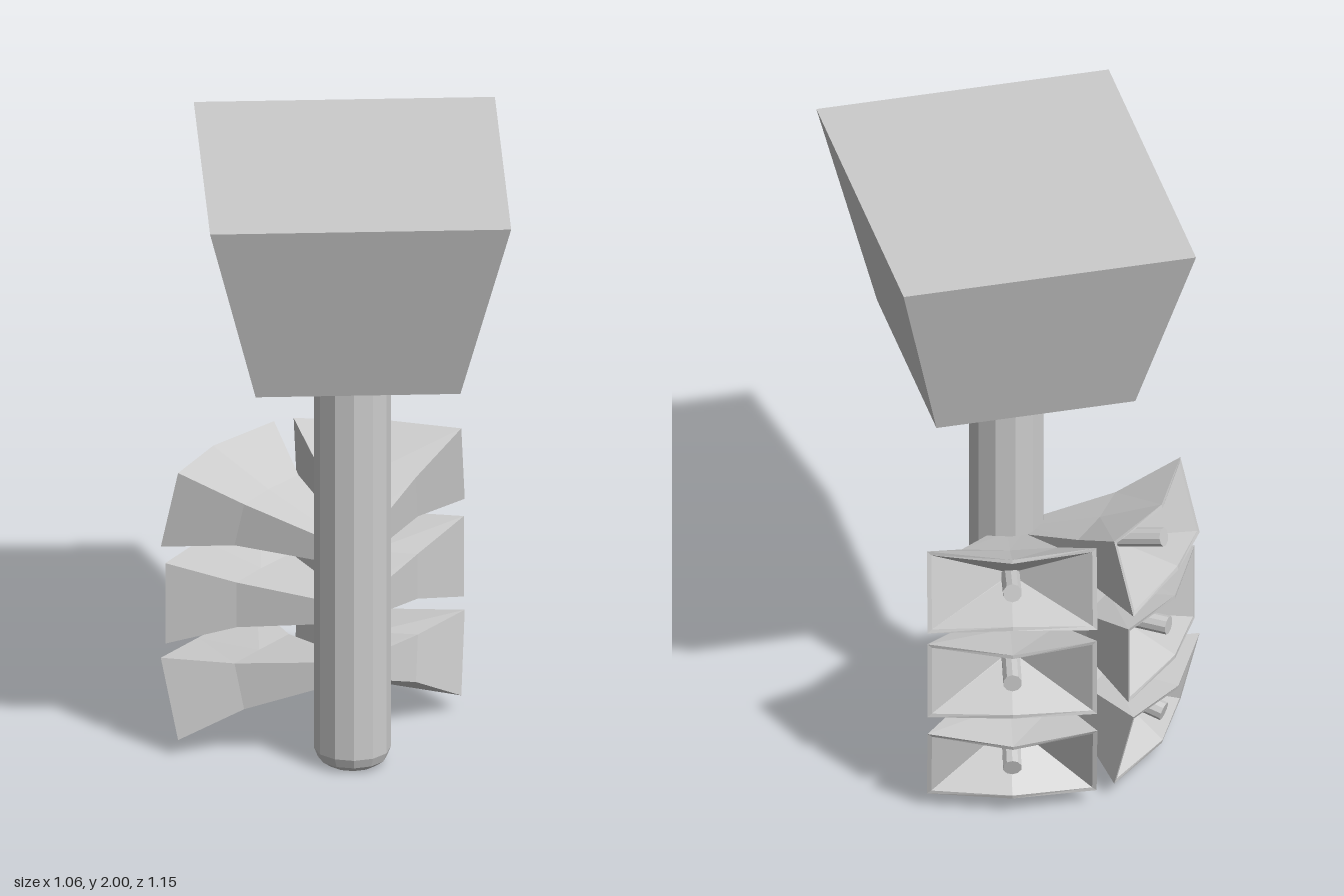
import * as THREE from 'three';

const grey = new THREE.MeshStandardMaterial({ color: 0xcccccc, flatShading: true });

function part(name, geometry) {
  const mesh = new THREE.Mesh(geometry, grey);
  mesh.name = name;
  return mesh;
}

// Six-point section: half width, corner half height, middle half height,
// and how far forward the corners and the middle points lie.
function section([w, h, m, corner, middle]) {
  return [
    [-w, h, -corner], [0, m, -middle], [w, h, -corner],
    [w, -h, -corner], [0, -m, -middle], [-w, -h, -corner],
  ];
}

// Skin from throat to rim, over the lip and back into the funnel
function hornGeometry() {
  const rings = [
    [0.05, 0.04, 0.04, 0.08, 0.08],
    [0.15, 0.075, 0.072, 0.335, 0.345],
    [0.265, 0.135, 0.117, 0.526, 0.572],
    [0.251, 0.122, 0.104, 0.526, 0.572],
    [0.004, 0.004, 0.004, 0.36, 0.36],
  ].map(section);
  const index = [];
  for (let i = 0; i < rings.length - 1; i++) {
    for (let j = 0; j < 6; j++) {
      const a = i * 6 + j, b = i * 6 + (j + 1) % 6;
      index.push(a, b, b + 6, a, b + 6, a + 6);
    }
  }
  const indexed = new THREE.BufferGeometry();
  indexed.setAttribute('position', new THREE.Float32BufferAttribute(rings.flat(2), 3));
  indexed.setIndex(index);
  const geometry = indexed.toNonIndexed();
  geometry.computeVertexNormals();
  return geometry;
}

export function createModel() {
  const model = new THREE.Group();
  model.name = 'hornPost';

  // Everything is arranged around the post axis
  const assembly = new THREE.Group();
  assembly.name = 'assembly';
  assembly.position.set(0.065, 0, 0.02);
  model.add(assembly);

  // Post with a rounded-off foot
  const profile = [[0, 0], [0.08, 0], [0.108, 0.02], [0.12, 0.05], [0.12, 1.4]]
    .map(([x, y]) => new THREE.Vector2(x, y));
  assembly.add(part('post', new THREE.LatheGeometry(profile, 12)));

  // Head: box whose lower face is drawn in
  const head = new THREE.BoxGeometry(0.94, 0.62, 1.12);
  const p = head.attributes.position;
  for (let i = 0; i < p.count; i++) {
    if (p.getY(i) < 0) p.setXYZ(i, p.getX(i) * 0.68, p.getY(i), p.getZ(i) * 0.68);
  }
  head.translate(0, 1.69, 0);
  head.computeVertexNormals();
  assembly.add(part('head', head));

  // Two columns of three horns, the outer ones tilted up and down
  const shell = hornGeometry();
  const pin = new THREE.CylinderGeometry(0.03, 0.03, 0.21, 10);
  pin.rotateX(Math.PI / 2).translate(0, 0, -0.445);
  const deg = THREE.MathUtils.degToRad;
  for (const yaw of [-12, 53]) {
    for (const row of [-1, 0, 1]) {
      const horn = new THREE.Group();
      horn.name = 'horn';
      horn.rotation.order = 'YXZ';
      horn.rotation.set(deg(14 * row), deg(yaw), 0);
      horn.position.y = 0.5 + 0.19 * row;
      horn.add(part('hornShell', shell), part('hornPin', pin));
      assembly.add(horn);
    }
  }
  return model;
}
